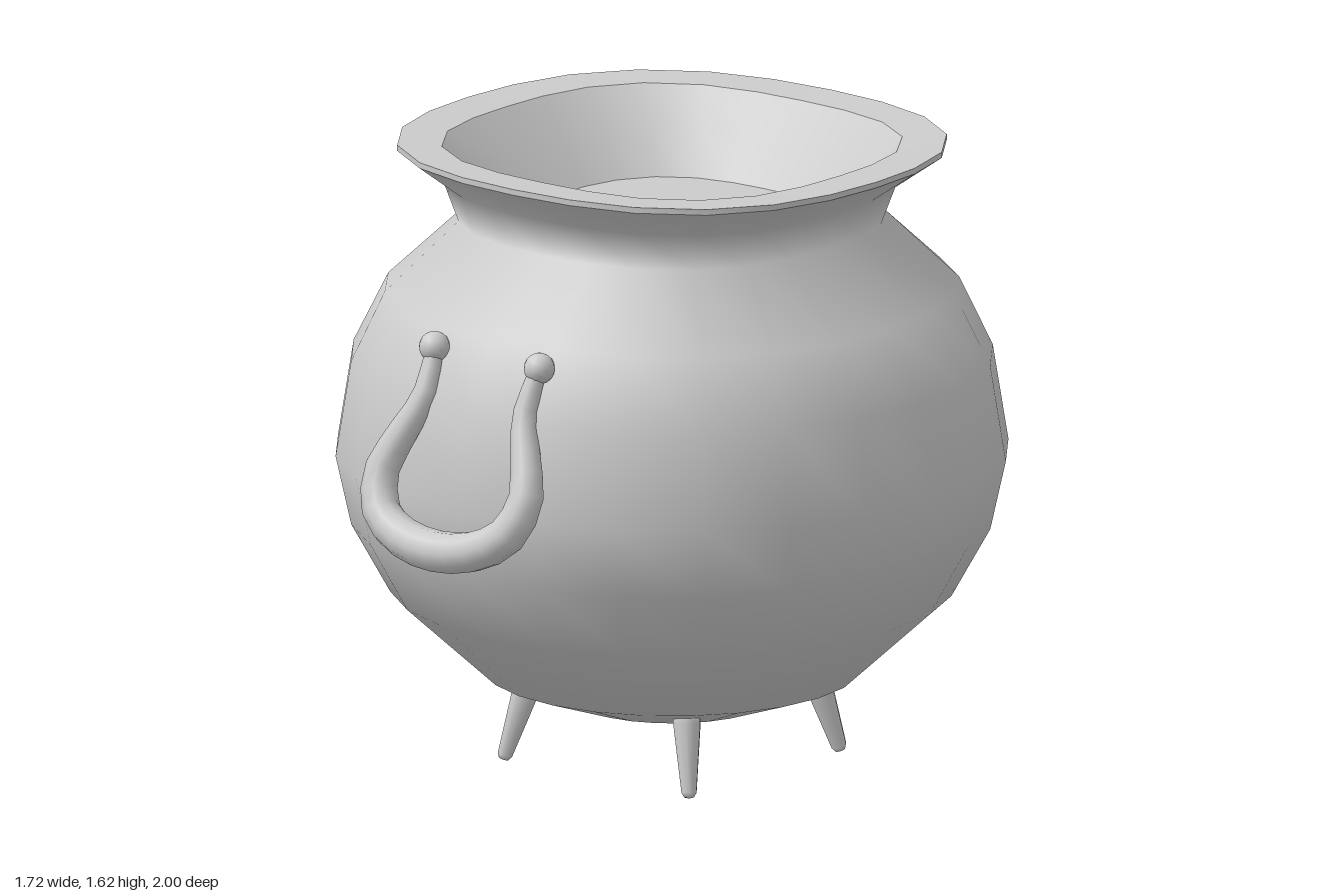
import * as THREE from 'three';
import { mergeVertices } from 'three/addons/utils/BufferGeometryUtils.js';

const material = new THREE.MeshStandardMaterial({ color: 0xcccccc });

function addMesh(parent, name, geometry) {
  const mesh = new THREE.Mesh(geometry, material);
  mesh.name = name;
  parent.add(mesh);
  return mesh;
}

// Lathe whose rings bulge toward the diagonals: each point is [radius, y, bulge, zScale]
function squaredLathe(profile, segments = 24) {
  const points = profile.map(([r, y]) => new THREE.Vector2(r, y));
  let geometry = new THREE.LatheGeometry(points, segments);
  const pos = geometry.attributes.position;
  for (let i = 0; i < pos.count; i++) {
    const [, , bulge = 0, zScale = 1] = profile[i % profile.length];
    const x = pos.getX(i), z = pos.getZ(i);
    const f = 1 + bulge * (1 - Math.cos(4 * Math.atan2(z, x))) / 2;
    pos.setXYZ(i, x * f, pos.getY(i), z * f * zScale);
  }
  geometry.deleteAttribute('uv');
  geometry.deleteAttribute('normal');
  geometry = mergeVertices(geometry);
  geometry.computeVertexNormals();
  return geometry;
}

// Tube whose radius follows radiusAt(t)
function taperedTube(curve, segments, sides, radiusAt) {
  const geometry = new THREE.TubeGeometry(curve, segments, 1, sides);
  const pos = geometry.attributes.position;
  const v = new THREE.Vector3();
  for (let i = 0; i < pos.count; i++) {
    const t = Math.floor(i / (sides + 1)) / segments;
    const centre = curve.getPointAt(t);
    v.fromBufferAttribute(pos, i).sub(centre).multiplyScalar(radiusAt(t)).add(centre);
    pos.setXYZ(i, v.x, v.y, v.z);
  }
  return geometry;
}

function createHandle() {
  const handle = new THREE.Group();
  // Horseshoe leaning outward as it hangs down
  const lean = y => 0.745 + (1.2 - y) * 0.435;
  const half = [[0.17, 1.2], [0.165, 1.08], [0.205, 0.98], [0.236, 0.89], [0.205, 0.8], [0.12, 0.75]];
  const outline = [...half, [0, 0.732], ...half.map(([x, y]) => [-x, y]).reverse()];
  const curve = new THREE.CatmullRomCurve3(outline.map(([x, y]) => new THREE.Vector3(x, y, lean(y))));
  addMesh(handle, 'handleLoop', taperedTube(curve, 24, 10, t => 0.022 + 0.032 * Math.sin(Math.PI * t)));
  for (const side of [1, -1]) {
    addMesh(handle, 'handleKnob', new THREE.SphereGeometry(0.04, 14, 10)).position.set(0.172 * side, 1.2, 0.745);
  }
  return handle;
}

export function createModel() {
  const model = new THREE.Group();
  model.name = 'cauldron';

  // Round belly, pinched neck and flared collar
  addMesh(model, 'body', squaredLathe([
    [0, 0.1], [0.25, 0.15], [0.48, 0.23], [0.72, 0.45], [0.82, 0.63], [0.86, 0.81],
    [0.82, 1.06], [0.72, 1.24, 0.02], [0.515, 1.42, 0.06], [0.55, 1.52, 0.07, 0.98], [0.67, 1.605, 0.07, 0.955],
  ]));
  // Thin lip edge and flat rim
  addMesh(model, 'lipEdge', squaredLathe([[0.67, 1.605, 0.07, 0.955], [0.67, 1.62, 0.07, 0.955]]));
  addMesh(model, 'rim', squaredLathe([[0.67, 1.62, 0.07, 0.955], [0.545, 1.615, 0.1, 0.96]]));
  // Inside wall and the flat surface it meets
  addMesh(model, 'innerWall', squaredLathe([
    [0.545, 1.615, 0.1, 0.96], [0.47, 1.53, 0.1, 0.97], [0.37, 1.415, 0.1],
  ]));
  addMesh(model, 'innerFloor', squaredLathe([[0.37, 1.415, 0.1], [0, 1.415]]));

  // Front and back handles
  for (const [name, turn] of [['frontHandle', 0], ['backHandle', Math.PI]]) {
    const handle = createHandle();
    handle.name = name;
    handle.rotation.y = turn;
    model.add(handle);
  }

  // Four splayed feet, tapering to rounded tips
  const footProfile = [[0, 0], [0.013, 0.003], [0.02, 0.015], [0.036, 0.19], [0.036, 0.23], [0, 0.23]]
    .map(([r, y]) => new THREE.Vector2(r, y));
  const axis = new THREE.Vector3();
  for (const x of [1, -1]) {
    for (const z of [1, -1]) {
      const foot = addMesh(model, 'foot', new THREE.LatheGeometry(footProfile, 10));
      foot.position.set(0.305 * x, 0, 0.305 * z);
      axis.set(-0.045 * x, 0.2, -0.045 * z).normalize();
      foot.quaternion.setFromUnitVectors(new THREE.Vector3(0, 1, 0), axis);
    }
  }
  return model;
}
